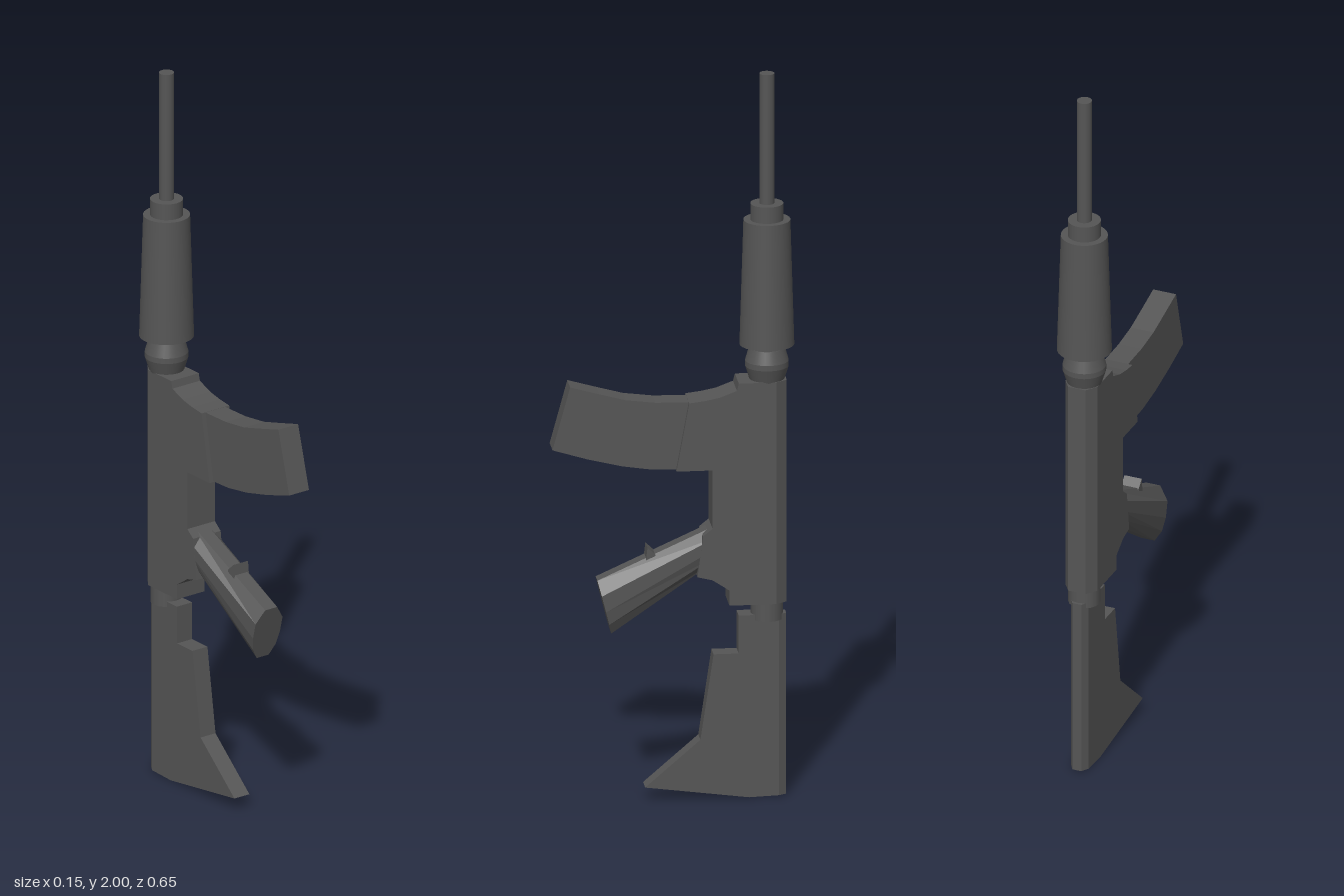
import * as THREE from 'three';

const AXIS_Z = -0.25;

export function createModel() {
  const model = new THREE.Group();
  const flat = new THREE.MeshStandardMaterial({ color: 0x555555, flatShading: true });
  const smooth = new THREE.MeshStandardMaterial({ color: 0x555555 });

  const add = (name, geometry, material = flat) => {
    const mesh = new THREE.Mesh(geometry, material);
    mesh.name = name;
    model.add(mesh);
    return mesh;
  };

  // Side profile of [z, y] points, extruded across x
  const slab = (name, points, halfWidth) => {
    const shape = new THREE.Shape(points.map(([z, y]) => new THREE.Vector2(z, y)));
    const g = new THREE.ExtrudeGeometry(shape, { depth: halfWidth * 2, bevelEnabled: false });
    g.translate(0, 0, -halfWidth);
    g.rotateY(-Math.PI / 2);
    return add(name, g);
  };

  // Chamfered bar along the back, narrowing towards -z
  const spine = (name, y0, y1, wide, narrow, zFront, zBack) => {
    const shape = new THREE.Shape([
      new THREE.Vector2(-wide, -zFront), new THREE.Vector2(wide, -zFront),
      new THREE.Vector2(narrow, -zBack), new THREE.Vector2(-narrow, -zBack),
    ]);
    const g = new THREE.ExtrudeGeometry(shape, { depth: y1 - y0, bevelEnabled: false });
    g.rotateX(-Math.PI / 2);
    g.translate(0, y0, 0);
    return add(name, g);
  };

  // Round parts stacked on the barrel axis
  const round = (name, y0, y1, r0, r1, sides = 32) => {
    const g = new THREE.CylinderGeometry(r1, r0, y1 - y0, sides);
    g.translate(0, (y0 + y1) / 2, AXIS_Z);
    return add(name, g, smooth);
  };
  round('barrel', 1.62, 2.0, 0.02, 0.02);
  round('handguardCap', 1.59, 1.64, 0.044, 0.044);
  round('handguard', 1.25, 1.595, 0.073, 0.0625);
  round('handguardNeck', 1.235, 1.255, 0.045, 0.045);
  round('barrelNutUpper', 1.205, 1.24, 0.058, 0.048);
  round('barrelNutMiddle', 1.19, 1.205, 0.058, 0.058);
  round('barrelNutLower', 1.145, 1.19, 0.044, 0.058);
  round('stockTube', 0.49, 0.55, 0.043, 0.043, 16);

  // Receiver with magazine well
  slab('receiver', [
    [-0.27, 0.54], [-0.145, 0.54], [-0.145, 0.582], [-0.1, 0.612], [-0.06, 0.622],
    [-0.075, 0.735], [-0.1, 0.755], [-0.1, 0.917], [-0.004, 0.917], [-0.038, 1.105],
    [-0.08, 1.11], [-0.12, 1.118], [-0.165, 1.135], [-0.17, 1.155], [-0.27, 1.155],
  ], 0.046);
  spine('receiverSpine', 0.54, 1.155, 0.046, 0.025, -0.27, -0.3);

  // Curved magazine
  slab('magazine', [
    [-0.03, 0.918], [0.06, 0.921], [0.14, 0.933], [0.23, 0.955], [0.325, 0.984],
    [0.278, 1.157], [0.2, 1.135], [0.13, 1.116], [0.05, 1.106], [-0.06, 1.104],
  ], 0.033);

  // Grip: chamfered cross-section lofted from root to tip
  const half = [[0, 0.02], [0.25, 0.045], [0.55, 0.045], [0.8, 0.038], [1, 0.02]];
  const outline = [...half, ...half.map(([t, w]) => [t, -w]).reverse()];
  const ends = [
    { top: [-0.12, 0.76], bottom: [-0.1, 0.65] },
    { top: [0.204, 0.614], bottom: [0.167, 0.466] },
  ];
  const positions = [];
  const n = outline.length;
  for (const { top, bottom } of ends) {
    for (const [t, x] of outline) {
      positions.push(x, top[1] + (bottom[1] - top[1]) * t, top[0] + (bottom[0] - top[0]) * t);
    }
  }
  const index = [];
  for (let i = 0; i < n; i++) {
    const j = (i + 1) % n;
    index.push(i, i + n, j, j, i + n, j + n);
    if (i > 0 && i < n - 1) index.push(0, i, i + 1, n, n + i + 1, n + i);
  }
  const grip = new THREE.BufferGeometry();
  grip.setAttribute('position', new THREE.Float32BufferAttribute(positions, 3));
  grip.setIndex(index);
  const gripGeometry = grip.toNonIndexed();
  gripGeometry.computeVertexNormals();
  add('grip', gripGeometry);
  slab('gripRidge', [[0.04, 0.65], [0.078, 0.64], [0.071, 0.702], [0.05, 0.682]], 0.025);

  // Stock with chamfered back edge
  slab('stock', [
    [-0.28, 0.003], [-0.2, 0], [0.077, 0.037], [-0.07, 0.164],
    [-0.105, 0.4], [-0.172, 0.4], [-0.172, 0.505], [-0.28, 0.505],
  ], 0.025);
  spine('stockSpine', 0.003, 0.505, 0.025, 0.013, -0.28, -0.3);

  return model;
}
